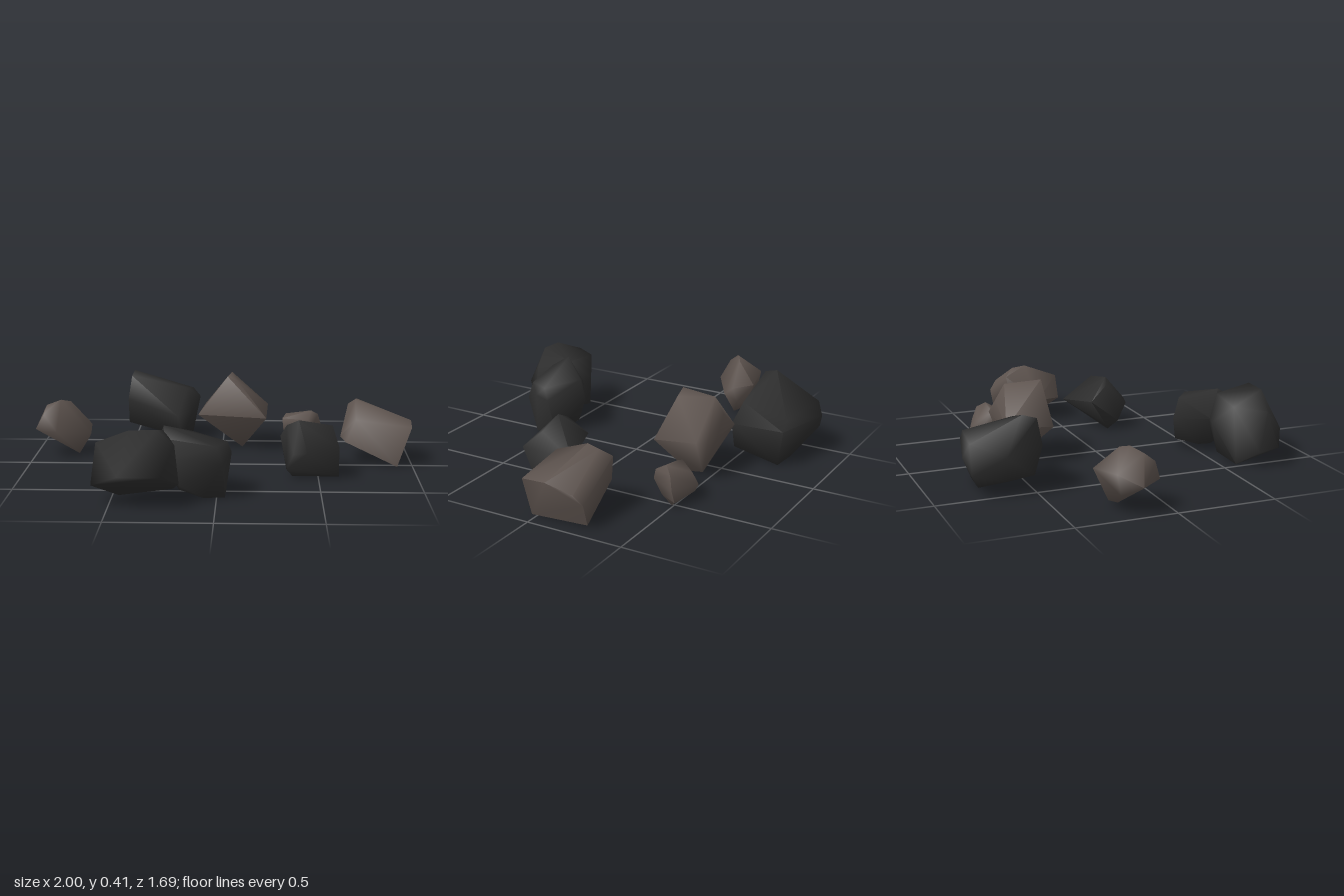
import * as THREE from 'three';
import { ConvexGeometry } from 'three/addons/geometries/ConvexGeometry.js';
import { toCreasedNormals } from 'three/addons/utils/BufferGeometryUtils.js';

export function createModel() {
  const group = new THREE.Group();
  const brown = new THREE.MeshStandardMaterial({ color: 0x5e544f });
  brown.name = 'brown stone';
  const dark = new THREE.MeshStandardMaterial({ color: 0x2d2d2d });
  dark.name = 'dark stone';

  // A rock is the convex hull of a few corners, softly shaded across its edges
  function rock(name, material, corners) {
    const hull = new ConvexGeometry(corners.map((c) => new THREE.Vector3(...c)));
    const mesh = new THREE.Mesh(toCreasedNormals(hull, 1.5), material);
    mesh.name = name;
    group.add(mesh);
  }

  // Tilted block on the far left side (+x)
  rock('leftBlock', brown, [
    [0.65, 0.13, 0.03], [0.70, 0.25, 0.03], [0.99, 0.21, 0.03], [0.92, 0, 0.03],
    [0.71, 0.32, -0.15], [0.63, 0.13, -0.1], [1, 0.22, -0.1],
    [0.72, 0.31, -0.22], [0.68, 0.27, -0.27], [0.66, 0.14, -0.25],
    [0.98, 0.18, -0.24], [0.96, 0.13, -0.28], [0.91, 0.01, -0.27],
  ]);

  // Dark cube-like rock standing on an edge
  rock('edgeRock', dark, [
    [0.37, 0.14, 0.33], [0.44, 0.15, 0.345], [0.40, 0.29, 0.22], [0.34, 0.26, 0.2],
    [0.31, 0.18, 0.10], [0.34, 0.05, 0.27], [0.34, 0.03, 0.2], [0.37, 0, 0.22],
    [0.60, 0.17, 0.30], [0.57, 0.26, 0.2], [0.57, 0.14, 0.03], [0.605, 0, 0.22],
  ]);

  // Tall brown rock near the centre
  rock('centreRock', brown, [
    [0.03, 0.41, -0.29], [0.09, 0.38, -0.29], [0.24, 0.19, -0.24], [-0.13, 0.2, -0.28],
    [0.11, 0, -0.37], [0.05, 0.40, -0.48], [0.25, 0.22, -0.48], [0.2, 0.22, -0.52],
    [-0.1, 0.21, -0.52], [0.13, 0.02, -0.46], [0.05, 0.32, -0.53], [0.12, 0.22, -0.53],
  ]);

  // Large dark boulder at the back
  rock('backBoulder', dark, [
    [-0.50, 0.39, -0.57], [-0.51, 0.37, -0.5], [-0.2, 0.3, -0.52], [-0.18, 0.25, -0.77],
    [-0.48, 0.27, -0.82], [-0.46, 0.2, -0.85], [-0.54, 0.2, -0.66], [-0.53, 0.24, -0.48],
    [-0.25, 0.15, -0.44], [-0.17, 0.18, -0.47], [-0.14, 0.2, -0.77],
    [-0.18, 0, -0.73], [-0.33, 0, -0.74], [-0.30, 0, -0.65], [-0.51, 0.12, -0.82],
    [-0.52, 0.08, -0.65], [-0.53, 0.1, -0.52], [-0.23, 0.03, -0.46],
  ]);

  // Two dark rocks leaning into one another at the front
  rock('frontBoulder', dark, [
    [-0.4, 0.36, 0.75], [-0.27, 0.365, 0.75], [-0.25, 0.32, 0.57], [-0.56, 0.29, 0.70],
    [-0.46, 0.30, 0.56], [-0.19, 0.29, 0.74], [-0.45, 0.16, 0.84], [-0.25, 0.16, 0.84],
    [-0.58, 0.1, 0.76], [-0.17, 0.11, 0.76], [-0.47, 0, 0.58], [-0.57, 0.08, 0.66],
    [-0.2, 0.07, 0.70], [-0.35, 0.04, 0.53], [-0.35, 0.2, 0.50], [-0.27, 0.2, 0.52],
  ]);
  rock('frontRock', dark, [
    [-0.25, 0.345, 0.58], [-0.24, 0.3, 0.66], [-0.12, 0.28, 0.42], [0.05, 0.26, 0.54],
    [0.07, 0.22, 0.58], [0.0, 0.26, 0.65], [-0.12, 0.17, 0.39], [0.07, 0.2, 0.51],
    [0.03, 0.18, 0.66], [-0.18, 0.22, 0.715], [-0.3, 0.2, 0.52], [0.04, 0.01, 0.48],
    [0.04, 0, 0.6], [-0.06, 0.01, 0.65], [-0.17, 0.08, 0.69], [-0.18, 0.03, 0.58],
    [-0.2, 0.04, 0.5], [-0.1, 0.05, 0.42],
  ]);

  // Lone rounded rock on the far right side (-x)
  rock('rightRock', brown, [
    [-0.93, 0.28, -0.14], [-0.86, 0.30, -0.18], [-0.81, 0.285, -0.21], [-0.95, 0.2, -0.28],
    [-0.76, 0.18, -0.32], [-0.70, 0.16, -0.22], [-0.70, 0.12, -0.17], [-0.87, 0.15, -0.06],
    [-0.93, 0.15, -0.06], [-0.94, 0.24, -0.09], [-1, 0.14, -0.17], [-0.77, 0, -0.2],
    [-0.8, 0.03, -0.26], [-0.72, 0.08, -0.24], [-0.95, 0.1, -0.26],
  ]);

  // Smallest stone: a rounded outline at each end, slightly turned
  rock('smallStone', brown, [
    [0.34, 0.11, -0.40], [0.33, 0.15, -0.42], [0.35, 0.17, -0.46], [0.38, 0.13, -0.53],
    [0.39, 0.08, -0.57], [0.37, 0.03, -0.54], [0.35, 0.02, -0.49], [0.34, 0.05, -0.44],
    [0.49, 0.11, -0.38], [0.47, 0.15, -0.38], [0.49, 0.19, -0.45], [0.53, 0.16, -0.49],
    [0.55, 0.09, -0.51], [0.54, 0.03, -0.52], [0.51, 0, -0.49], [0.50, 0.04, -0.43],
  ]);

  return group;
}
